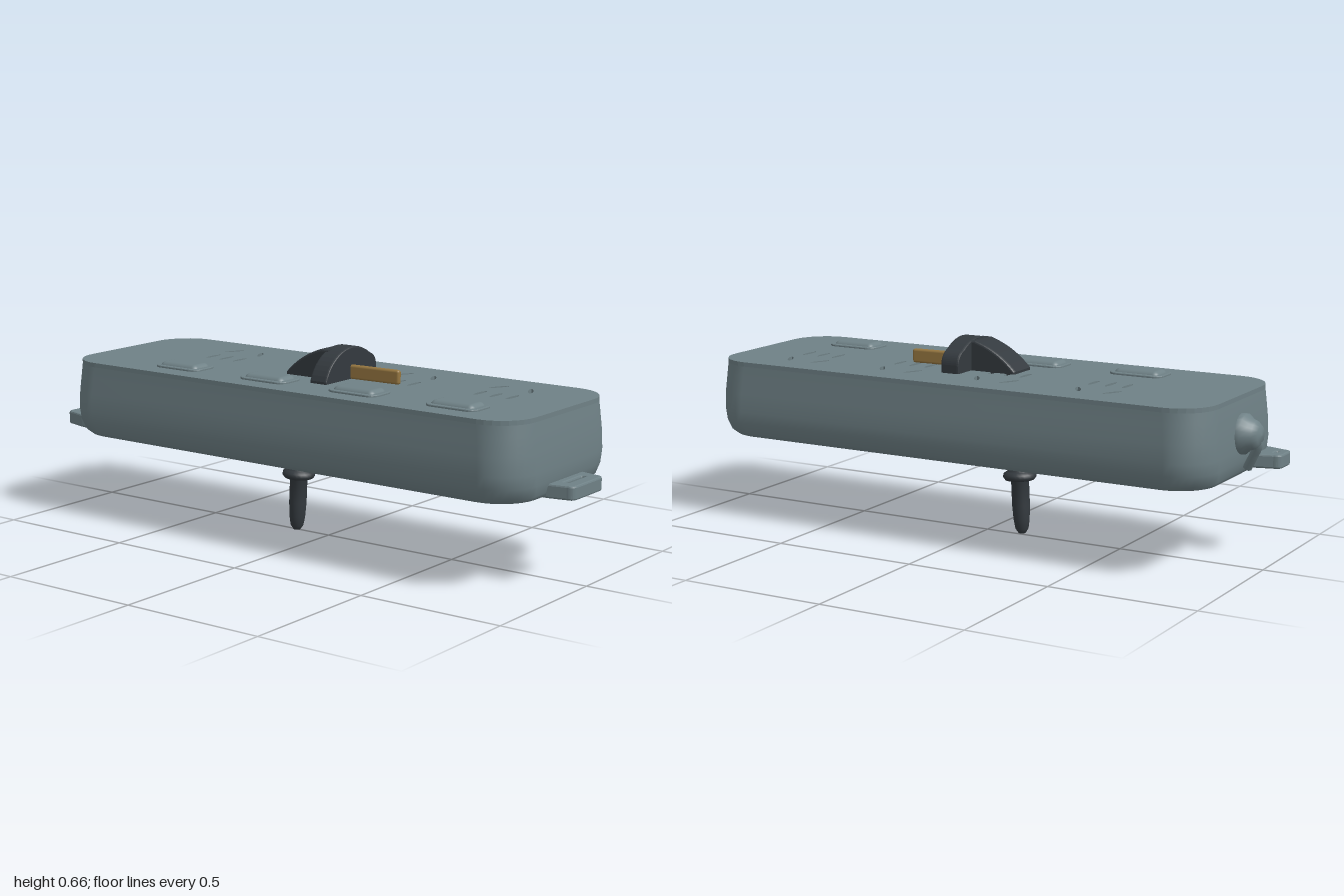
import * as THREE from 'three';
import { RoundedBoxGeometry } from 'three/addons/geometries/RoundedBoxGeometry.js';

const mat = (color) => new THREE.MeshStandardMaterial({ color });
const grey = mat(0x6f8186), dark = mat(0x343a3f), gold = mat(0x957640);

const BOTTOM = 0.29, FLOOR = 0.537, TOP = 0.552;

function add(parent, name, geometry, material, x = 0, y = 0, z = 0) {
  const mesh = new THREE.Mesh(geometry, material);
  mesh.name = name;
  mesh.position.set(x, y, z);
  parent.add(mesh);
  return mesh;
}

// Rounded rectangle outline, half width by half depth
function outline(hw, hd, r, n = 8) {
  const pts = [];
  const corners = [[1, 1], [-1, 1], [-1, -1], [1, -1]];
  corners.forEach(([sx, sz], k) => {
    for (let i = 0; i <= n; i++) {
      const a = (k + i / n) * Math.PI / 2;
      pts.push(new THREE.Vector2(sx * (hw - r) + r * Math.cos(a), sz * (hd - r) + r * Math.sin(a)));
    }
  });
  return pts;
}

// Side wall lofted through rounded-rectangle rings
function wallGeometry(levels) {
  const pos = [], idx = [];
  let n = 0;
  for (const [y, hw, hd] of levels) {
    const ring = outline(hw, hd, 0.13);
    n = ring.length;
    ring.forEach((p) => pos.push(p.x, y, p.y));
  }
  for (let l = 0; l < levels.length - 1; l++) {
    for (let i = 0; i < n; i++) {
      const a = l * n + i, b = l * n + (i + 1) % n;
      idx.push(a, a + n, b, b, a + n, b + n);
    }
  }
  const g = new THREE.BufferGeometry();
  g.setAttribute('position', new THREE.Float32BufferAttribute(pos, 3));
  g.setIndex(idx);
  g.computeVertexNormals();
  return g;
}

// Flat plate lying in xz, drawn as (x, -z) and raised along y
function plate(shape, depth, bevel = 0) {
  return new THREE.ExtrudeGeometry(shape, {
    depth, curveSegments: 8, bevelEnabled: bevel > 0, bevelSize: bevel, bevelThickness: bevel, bevelSegments: 2,
  }).rotateX(-Math.PI / 2);
}

// Slot outline with pointed-round ends
function slotPath(x, z, length, width, angle) {
  const path = new THREE.Path();
  path.absellipse(x, -z, length / 2, width / 2, 0, Math.PI * 2, false, angle);
  return path;
}

// Hanging tab with a slot through it
function tabGeometry(inner, outer, length, holeHalf, z0, z1, height) {
  const s = new THREE.Shape();
  s.moveTo(-inner, 0.03);
  s.lineTo(inner, 0.03);
  s.lineTo(inner, 0);
  s.lineTo(outer, -length + 0.02);
  s.quadraticCurveTo(outer, -length, outer - 0.02, -length);
  s.lineTo(-outer + 0.02, -length);
  s.quadraticCurveTo(-outer, -length, -outer, -length + 0.02);
  s.lineTo(-inner, 0);
  s.closePath();
  s.holes.push(new THREE.Path(outline(holeHalf, (z1 - z0) / 2, 0.01, 4)
    .map((p) => new THREE.Vector2(p.x, p.y - (z0 + z1) / 2))));
  return plate(s, height - 0.012, 0.006).translate(0, 0.006, 0);
}

function createModel() {
  const model = new THREE.Group();
  model.name = 'powerStrip';

  // Casing
  const body = new THREE.Group();
  body.name = 'casing';
  model.add(body);
  add(body, 'sideWall', wallGeometry([
    [BOTTOM, 0.28, 0.897], [0.305, 0.295, 0.91], [0.34, 0.308, 0.919], [0.38, 0.314, 0.921],
    [0.44, 0.312, 0.919], [0.5, 0.307, 0.914], [FLOOR, 0.305, 0.91],
  ]), grey);
  add(body, 'basePlate', new THREE.ShapeGeometry(new THREE.Shape(outline(0.28, 0.897, 0.13)))
    .rotateX(Math.PI / 2), dark, 0, BOTTOM, 0);
  add(body, 'socketFloor', new THREE.ShapeGeometry(new THREE.Shape(outline(0.305, 0.91, 0.13)))
    .rotateX(-Math.PI / 2), grey, 0, FLOOR, 0);

  // Top panel with socket slots, and a rocker switch beside each socket
  const panel = new THREE.Shape(outline(0.305, 0.91, 0.13));
  const rows = [-0.48, -0.11, 0.255, 0.63];
  for (const z of rows) {
    for (const dz of [-0.06, 0, 0.06]) panel.holes.push(slotPath(0.045, z + dz, 0.075, 0.018, 0));
    panel.holes.push(slotPath(0.165, z - 0.065, 0.075, 0.018, -0.5));
    panel.holes.push(slotPath(0.165, z + 0.055, 0.075, 0.018, 0.5));
    add(body, 'switchFrame', plate(new THREE.Shape(outline(0.054, 0.093, 0.03, 5)), 0.004, 0.003),
      grey, -0.175, TOP, z);
    add(body, 'switch', new RoundedBoxGeometry(0.09, 0.05, 0.165, 4, 0.022), grey, -0.175, 0.545, z);
  }
  add(body, 'topPanel', plate(panel, TOP - FLOOR), grey, 0, FLOOR, 0);

  // Base screws
  for (const x of [-1, 1]) {
    for (const z of [-0.8, 0, 0.8]) {
      add(body, 'screw', new THREE.CylinderGeometry(0.012, 0.012, 0.006, 12), grey,
        x * (z ? 0.215 : 0.255), BOTTOM, z);
    }
  }

  // Hanging tabs at both ends
  add(model, 'frontTab', tabGeometry(0.1, 0.088, 0.084, 0.062, 0.025, 0.052, 0.046), grey, 0, 0.288, 0.91);
  const backTab = add(model, 'backTab', tabGeometry(0.062, 0.044, 0.084, 0.022, 0.045, 0.064, 0.046),
    grey, -0.172, 0.298, -0.91);
  backTab.rotation.y = Math.PI;

  // Cord outlet with a short cord end
  const collar = [[0.065, 0], [0.065, 0.018], [0.05, 0.035], [0.045, 0.05], [0.03, 0.066], [0, 0.07]];
  add(model, 'cordOutlet', new THREE.LatheGeometry(collar.map((p) => new THREE.Vector2(...p)), 20)
    .rotateX(-Math.PI / 2), grey, 0, 0.43, -0.914);
  const cord = new THREE.CatmullRomCurve3([[0, 0.43, -0.96], [-0.01, 0.4, -0.968], [-0.02, 0.36, -0.95],
    [-0.03, 0.315, -0.925]].map((p) => new THREE.Vector3(...p)));
  add(model, 'cordEnd', new THREE.TubeGeometry(cord, 12, 0.015, 8), grey);

  // Plug lying on top: domed face, sloping grip and flat prong
  const plug = new THREE.Group();
  plug.name = 'plug';
  model.add(plug);
  const face = new THREE.Shape();
  face.moveTo(-0.145, 0.54);
  face.lineTo(0.135, 0.54);
  face.lineTo(0.137, 0.58);
  face.quadraticCurveTo(0.135, 0.615, 0.1, 0.627);
  face.quadraticCurveTo(0.055, 0.658, 0, 0.659);
  face.bezierCurveTo(-0.06, 0.659, -0.125, 0.62, -0.145, 0.56);
  face.closePath();
  add(plug, 'plugFace', new THREE.ExtrudeGeometry(face, {
    depth: 0.054, curveSegments: 10, bevelThickness: 0.006, bevelSize: 0.004, bevelOffset: -0.004, bevelSegments: 2,
  }), dark, 0, 0, 0.039);
  const grip = new THREE.Shape();
  grip.moveTo(-0.05, 0.54);
  grip.lineTo(-0.05, 0.652);
  grip.lineTo(-0.02, 0.652);
  grip.quadraticCurveTo(0.07, 0.625, 0.13, 0.56);
  grip.lineTo(0.13, 0.54);
  grip.closePath();
  add(plug, 'plugGrip', new THREE.ExtrudeGeometry(grip, {
    depth: 0.095, curveSegments: 10, bevelThickness: 0.01, bevelSize: 0.008, bevelOffset: -0.008, bevelSegments: 3,
  }).rotateY(Math.PI / 2), dark, -0.055, 0, 0);
  const prong = add(plug, 'prong', new RoundedBoxGeometry(0.02, 0.048, 0.2, 3, 0.008), gold, 0.003, 0.575, 0.185);
  prong.rotation.y = 0.05;

  // Pin with two grommets under the base
  const pin = [[0, 0], [0.012, 0.003], [0.022, 0.018], [0.027, 0.05], [0.03, 0.1], [0.03, 0.185],
    [0.05, 0.188], [0.056, 0.197], [0.055, 0.208], [0.045, 0.215], [0.034, 0.222], [0.036, 0.23],
    [0.054, 0.236], [0.06, 0.246], [0.058, 0.256], [0.05, 0.26], [0.062, 0.267], [0.063, 0.28], [0.05, 0.292]];
  const post = add(model, 'groundPin', new THREE.LatheGeometry(pin.map((p) => new THREE.Vector2(...p)), 24),
    dark, -0.008, 0, -0.13);
  post.rotation.x = 0.05;

  return model;
}

export { createModel };
